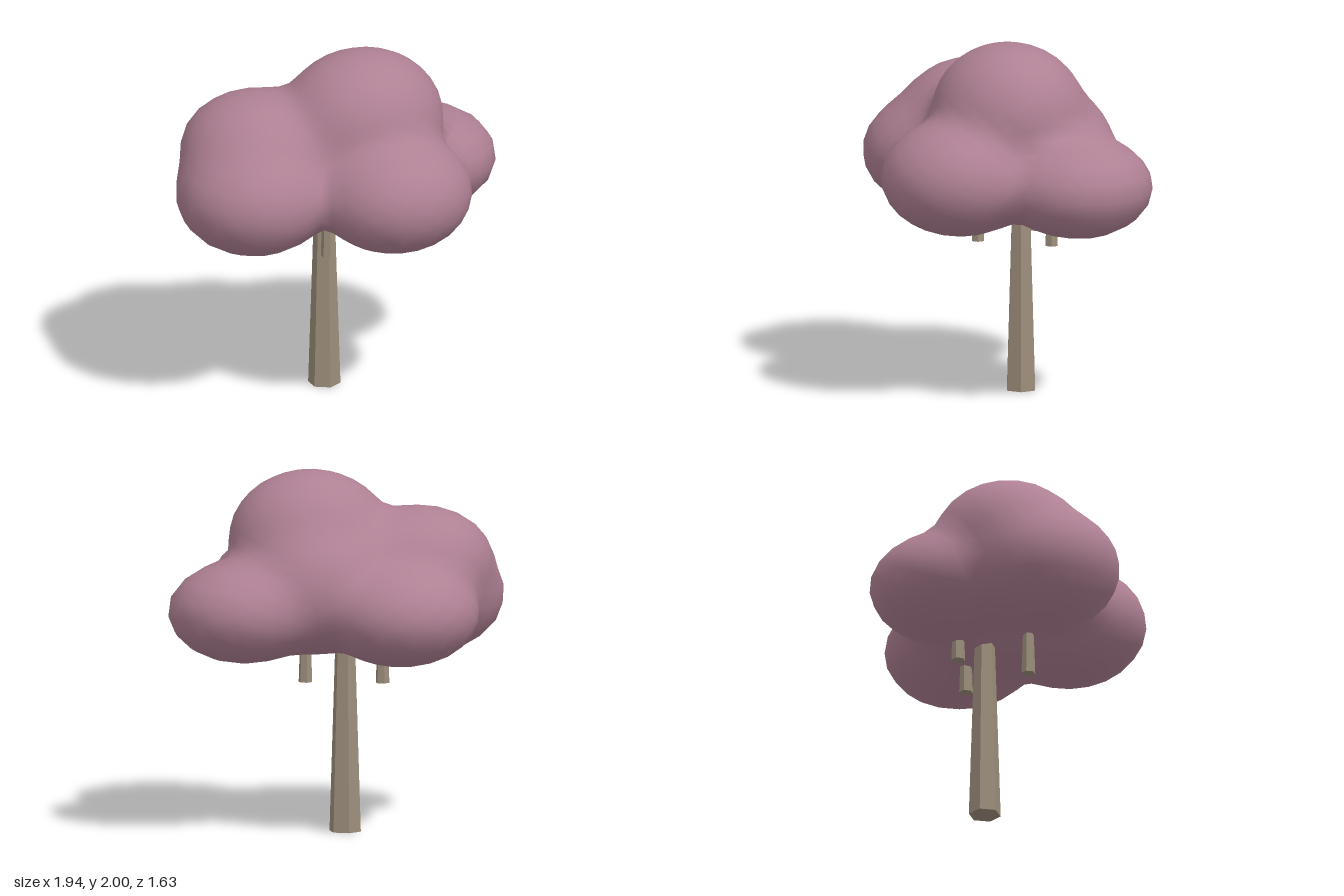
import * as THREE from 'three';
import { mergeVertices } from 'three/addons/utils/BufferGeometryUtils.js';

// Leaf puffs: centre x, y, z, then half width, half height, half depth
const PUFFS = [
  [-0.54, 1.28, 0.085, 0.435, 0.33, 0.43],  // left front
  [0.17, 1.29, 0.38, 0.435, 0.325, 0.435],  // front
  [0.555, 1.25, -0.15, 0.42, 0.285, 0.415], // right
  [-0.28, 1.24, -0.395, 0.43, 0.29, 0.43],  // back
  [0.13, 1.62, 0.04, 0.45, 0.38, 0.41],     // crown
  [-0.46, 1.49, -0.09, 0.41, 0.305, 0.40],  // shoulder
  [0.14, 1.38, -0.12, 0.44, 0.38, 0.44],    // core
  [-0.15, 1.48, -0.06, 0.40, 0.27, 0.40],   // saddle between crown and shoulder
];
const BLEND = 0.032;

// Smooth union of the puffs: negative inside
function field(p) {
  let sum = 0;
  for (const [x, y, z, w, h, d] of PUFFS) {
    const q = Math.hypot((p.x - x) / w, (p.y - y) / h, (p.z - z) / d);
    sum += Math.exp(-(q - 1) * h / BLEND);
  }
  return -BLEND * Math.log(sum);
}

// Sphere whose vertices are pulled in along rays until they meet the puffs
function canopyGeometry() {
  let geo = new THREE.IcosahedronGeometry(1, 9);
  geo.deleteAttribute('uv');
  geo.deleteAttribute('normal');
  geo = mergeVertices(geo, 1e-4);
  const pos = geo.attributes.position;
  const centre = new THREE.Vector3(0, 1.33, -0.03);
  const dir = new THREE.Vector3(), p = new THREE.Vector3();
  for (let i = 0; i < pos.count; i++) {
    dir.fromBufferAttribute(pos, i).normalize();
    const at = (t) => field(p.copy(centre).addScaledVector(dir, t));
    let outer = 1.3;
    while (outer > 0.1 && at(outer) > 0) outer -= 0.02;
    let inner = outer;
    outer += 0.02;
    for (let k = 0; k < 12; k++) {
      const mid = (inner + outer) / 2;
      if (at(mid) > 0) outer = mid; else inner = mid;
    }
    p.copy(centre).addScaledVector(dir, inner);
    pos.setXYZ(i, p.x, p.y, p.z);
  }
  geo.computeVertexNormals();
  return geo;
}

export function createModel() {
  const leaves = new THREE.MeshStandardMaterial({ color: 0xae8093 });
  leaves.name = 'dusty pink leaves';
  const bark = new THREE.MeshStandardMaterial({ color: 0x9c8e7b });
  bark.name = 'grey brown bark';

  const tree = new THREE.Group();
  tree.name = 'tree';

  const canopy = new THREE.Mesh(canopyGeometry(), leaves);
  canopy.name = 'canopy';
  tree.add(canopy);

  // Tapered six-sided posts with flat faces
  function post(name, x, z, y0, y1, r0, r1) {
    const geo = new THREE.CylinderGeometry(r1, r0, y1 - y0, 6).toNonIndexed();
    geo.computeVertexNormals();
    const mesh = new THREE.Mesh(geo, bark);
    mesh.name = name;
    mesh.position.set(x, (y0 + y1) / 2, z);
    tree.add(mesh);
  }
  post('trunk', -0.028, -0.13, 0, 1.3, 0.09, 0.049);
  const stubs = [[-0.195, -0.315], [-0.105, 0.1], [0.212, -0.185]];
  for (const [x, z] of stubs) post('branchStub', x, z, 0.85, 1.2, 0.039, 0.027);

  return tree;
}
